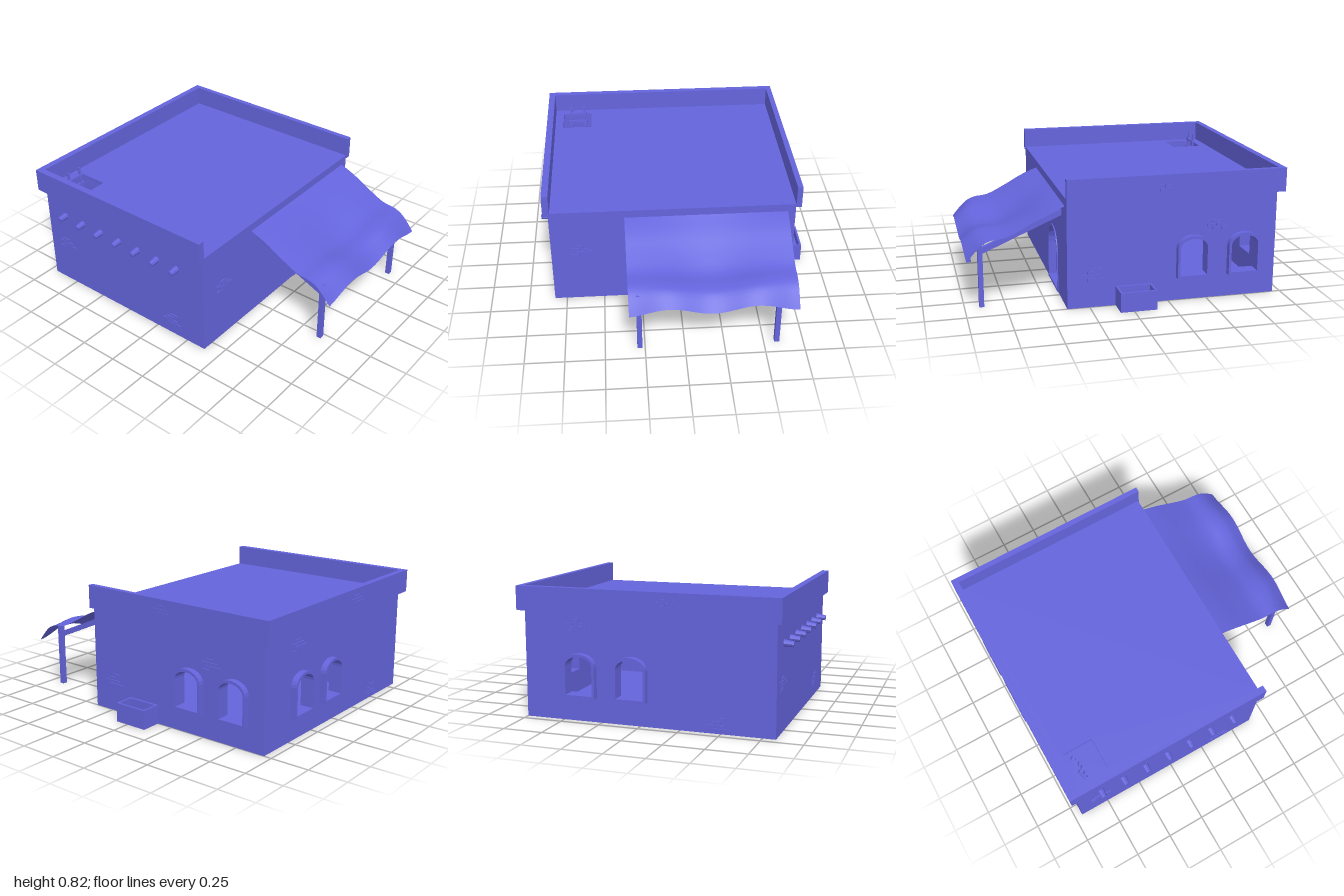
import * as THREE from 'three';

const material = new THREE.MeshStandardMaterial({ color: 0x6464dc, flatShading: true });
const clothMaterial = new THREE.MeshStandardMaterial({ color: 0x6464dc, side: THREE.DoubleSide });
const THICK = 0.05;

function add(parent, name, geometry, x = 0, y = 0, z = 0, mat = material) {
  const mesh = new THREE.Mesh(geometry, mat);
  mesh.name = name;
  mesh.position.set(x, y, z);
  parent.add(mesh);
  return mesh;
}

// Box given by its minimum and maximum corners
function block(parent, name, [x0, y0, z0], [x1, y1, z1]) {
  return add(parent, name, new THREE.BoxGeometry(x1 - x0, y1 - y0, z1 - z0),
    (x0 + x1) / 2, (y0 + y1) / 2, (z0 + z1) / 2);
}

function polygon(points, PathType = THREE.Shape) {
  return new PathType(points.map(([x, y]) => new THREE.Vector2(x, y)));
}

const rect = (x0, y0, x1, y1, PathType) =>
  polygon([[x0, y0], [x1, y0], [x1, y1], [x0, y1]], PathType);

// Upright opening with a rounded head
function arch(cx, half, bottom, spring, top, PathType = THREE.Path) {
  const points = [[cx - half, bottom], [cx + half, bottom]];
  for (let i = 0; i <= 12; i++) {
    const a = (i / 12) * Math.PI;
    points.push([cx + half * Math.cos(a), spring + (top - spring) * Math.sin(a)]);
  }
  return polygon(points, PathType);
}

const extrude = (shape, depth) => new THREE.ExtrudeGeometry(shape, { depth, bevelEnabled: false });

// Horizontal slab: the shape is drawn in x and -z
function slab(parent, name, shape, y, depth) {
  return add(parent, name, extrude(shape, depth).rotateX(-Math.PI / 2), 0, y, 0);
}

// Wall in its own frame: outer face at z = 0, thickness inward
function makeWall(parent, name, u0, u1, position, turn, holes) {
  const wall = new THREE.Group();
  wall.name = name;
  wall.position.set(...position);
  wall.rotation.y = turn;
  const shape = rect(u0, 0, u1, 0.67);
  shape.holes.push(...holes);
  add(wall, name + 'Panel', extrude(shape, THICK), 0, 0, -THICK);
  parent.add(wall);
  return wall;
}

const windowHole = (u) => arch(u, 0.087, 0.166, 0.345, 0.405);

function windowFrame(wall, u) {
  const shape = arch(u, 0.103, 0.15, 0.345, 0.422, THREE.Shape);
  shape.holes.push(windowHole(u));
  add(wall, 'windowFrame', extrude(shape, 0.04));
}

// Patch of exposed bricks in staggered rows, [start, count] per row
const BRICK_ROWS = [
  [[0.5, 2], [0, 2], [0.5, 1], [1, 1]],
  [[0, 1], [0.5, 2], [0, 2], [0.5, 1]],
];
function bricks(wall, u, v, out = 0, kind = 0, rows = 4) {
  const w = 0.06, h = 0.022;
  BRICK_ROWS[kind].slice(0, rows).forEach(([start, count], row) => {
    for (let i = 0; i < count; i++) {
      add(wall, 'exposedBrick', new THREE.BoxGeometry(w - 0.004, h - 0.003, 0.012),
        u + (start + i - 0.75) * w, v + (row - (rows - 1) / 2) * h, out);
    }
  });
}

function makeAwning(parent) {
  const awning = new THREE.Group();
  awning.name = 'awning';
  // Cloth: sagging profile with waves growing towards the hem
  const profile = new THREE.SplineCurve([[0.39, 0.638], [0.5, 0.585], [0.62, 0.515], [0.74, 0.458],
    [0.84, 0.45], [0.91, 0.425], [0.99, 0.352]].map(([z, y]) => new THREE.Vector2(z, y)));
  const cloth = new THREE.PlaneGeometry(1, 1, 32, 24);
  const p = cloth.attributes.position;
  for (let i = 0; i < p.count; i++) {
    const t = 0.5 - p.getY(i);
    const x = 0.175 + p.getX(i) * (1.05 - 0.01 * t);
    const at = profile.getPoint(t);
    const wave = Math.cos((x + 0.1) / 0.54 * 2 * Math.PI);
    const fold = Math.sin(t * Math.PI) * Math.cos((x - 0.17) / 0.52 * Math.PI);
    p.setXYZ(i, x, at.y + 0.027 * t * t * wave - 0.018 * fold, at.x + 0.004 * t * wave);
  }
  cloth.computeVertexNormals();
  add(awning, 'awningCloth', cloth, 0, 0, 0, clothMaterial);
  // Posts and sloping rafters
  for (const x of [-0.283, 0.583]) {
    block(awning, 'awningPost', [x - 0.016, 0, 0.88], [x + 0.016, 0.425, 0.91]);
    const dz = 0.52, dy = 0.225;
    const rafter = add(awning, 'awningRafter',
      new THREE.BoxGeometry(0.028, 0.035, Math.hypot(dz, dy)), x, 0.465, 0.645);
    rafter.rotation.x = Math.atan2(dy, dz);
  }
  parent.add(awning);
}

export function createModel() {
  const house = new THREE.Group();
  house.name = 'house';

  // Floor
  block(house, 'floor', [-0.825, 0, -0.945], [0.745, 0.015, 0.385]);

  // Front wall with doorway
  const front = makeWall(house, 'frontWall', -0.83, 0.75, [0, 0, 0.39], 0,
    [arch(0.295, 0.148, 0.02, 0.25, 0.395)]);
  const doorShape = arch(0.295, 0.16, 0.005, 0.25, 0.408, THREE.Shape);
  doorShape.holes.push(arch(0.295, 0.148, 0.02, 0.25, 0.395));
  add(front, 'doorFrame', extrude(doorShape, 0.007));
  bricks(front, -0.63, 0.39, 0, 1);

  // Back wall (u = -x)
  const backWindows = [-0.055, -0.383];
  const back = makeWall(house, 'backWall', -0.75, 0.83, [0, 0, -0.95], Math.PI,
    backWindows.map(windowHole));
  backWindows.forEach((u) => windowFrame(back, u));
  bricks(back, -0.41, 0.585, 0, 1);
  bricks(back, 0.19, 0.75, 0.042, 0, 3);
  bricks(back, 0.49, 0.055, 0, 0);

  // Windowed side wall (u = -z)
  const sideWindows = [0.403, 0.735];
  const windowSide = makeWall(house, 'leftWall', -0.34, 0.9, [0.75, 0, 0], Math.PI / 2,
    sideWindows.map(windowHole));
  sideWindows.forEach((u) => windowFrame(windowSide, u));
  bricks(windowSide, -0.22, 0.21, 0, 0);
  bricks(windowSide, 0.57, 0.465, 0, 1);
  bricks(windowSide, 0.22, 0.75, 0.033, 0, 3);

  // Side wall with projecting beam ends (u = z)
  const beamSide = makeWall(house, 'rightWall', -0.9, 0.34, [-0.83, 0, 0], -Math.PI / 2, []);
  for (let i = 0; i < 7; i++) {
    const beam = add(beamSide, 'beamEnd', new THREE.CylinderGeometry(0.017, 0.023, 0.07, 8),
      -0.785 + i * 0.161, 0.528, 0.025);
    beam.rotation.x = Math.PI / 2 + 0.08;
  }
  bricks(beamSide, -0.79, 0.295, 0, 1);
  bricks(beamSide, 0.13, 0.11, 0, 0);

  // Roof with hatch, and a parapet round three sides
  const roof = rect(-0.82, -0.39, 0.75, 0.95);
  roof.holes.push(rect(-0.762, 0.688, -0.56, 0.892, THREE.Path));
  slab(house, 'roof', roof, 0.67, 0.02);
  slab(house, 'parapet', polygon([[-0.863, -0.395], [-0.82, -0.395], [-0.82, 0.95], [0.75, 0.95],
    [0.75, -0.395], [0.785, -0.395], [0.785, 0.992], [-0.863, 0.992]]), 0.67, 0.15);

  // Inside steps rising to a landing
  for (let i = 0; i < 12; i++) {
    block(house, 'step', [-0.78, 0.015, -0.9], [-0.54, 0.05 + i * 0.024, -0.12 - i * 0.037]);
  }

  // Ladder through the hatch
  const ladder = new THREE.Group();
  ladder.name = 'ladder';
  ladder.position.set(-0.658, 0.31, -0.82);
  ladder.rotation.x = -0.09;
  for (const x of [-0.048, 0.048]) block(ladder, 'ladderRail', [x - 0.007, 0, -0.007], [x + 0.007, 0.46, 0.007]);
  for (let i = 0; i < 7; i++) {
    block(ladder, 'ladderRung', [-0.065, 0.04 + i * 0.06, -0.002], [0.065, 0.054 + i * 0.06, 0.016]);
  }
  house.add(ladder);

  // Open trough against the side wall
  const trough = rect(0.75, -0.087, 0.882, 0.142);
  trough.holes.push(rect(0.765, -0.074, 0.868, 0.129, THREE.Path));
  slab(house, 'troughSides', trough, 0, 0.124);
  block(house, 'troughBottom', [0.76, 0.001, -0.135], [0.875, 0.07, 0.08]);

  makeAwning(house);
  return house;
}
